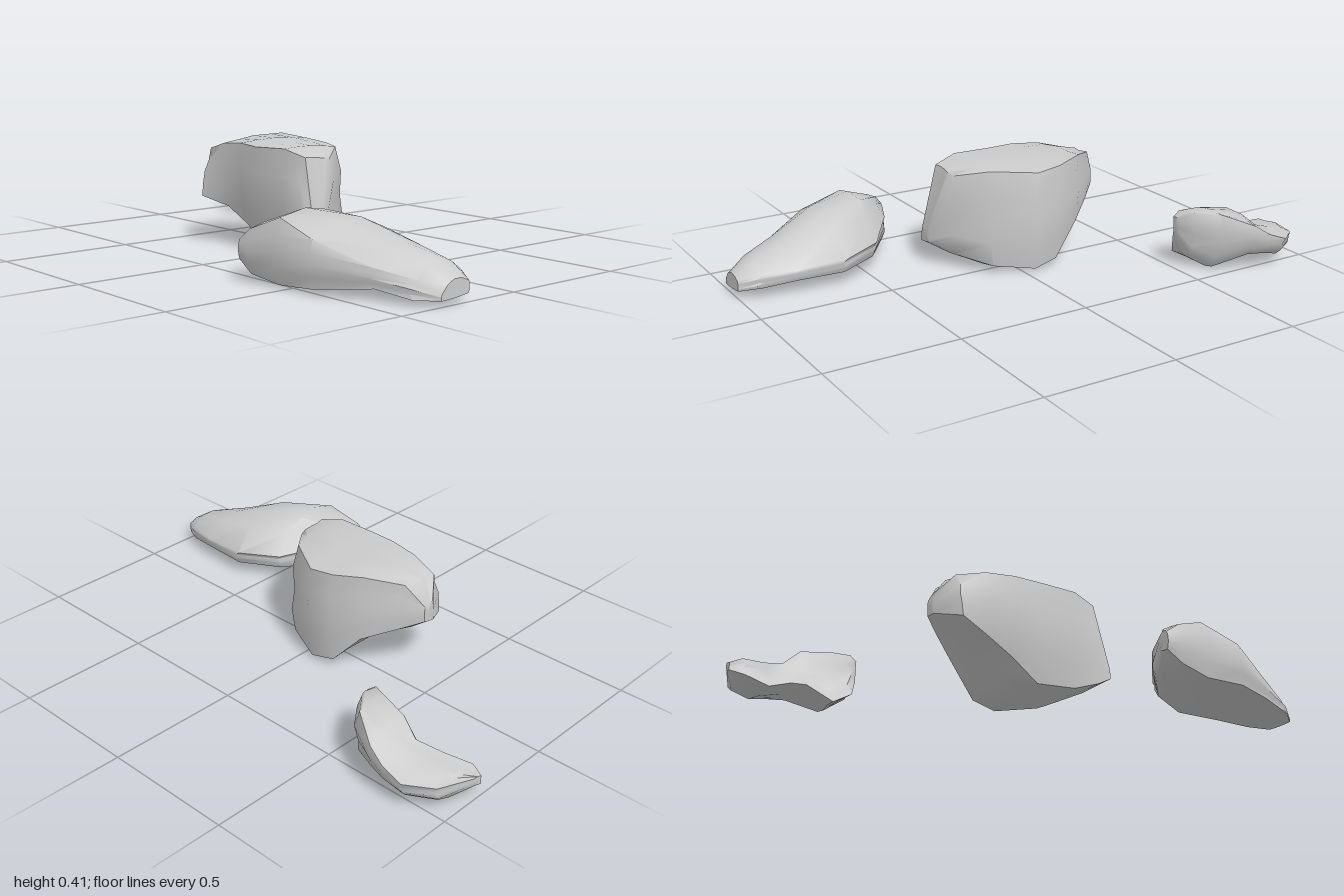
import * as THREE from 'three';
import { toCreasedNormals } from 'three/addons/utils/BufferGeometryUtils.js';

const STEPS = 4; // points along each side of a cross-section

// Small repeatable unevenness in -1..1
const rough = (i, j) => Math.sin(i * 12.9 + j * 78.2);

// Rock lofted along x. Each section: x, then [z, y] of the four corners
// front-bottom, front-top, back-top, back-bottom. bulges swell the
// front, top, back and bottom sides as a fraction of their length.
function rock(name, sections, bulges) {
  const pos = [], index = [], n = 4 * STEPS, last = sections.length - 1;
  sections.forEach(([x, ...corners], i) => {
    const jag = i === 0 || i === last ? 0 : 0.008;
    for (let j = 0; j < n; j++) {
      const side = Math.floor(j / STEPS), t = (j % STEPS) / STEPS;
      const a = corners[side], b = corners[(side + 1) % 4];
      const dz = b[0] - a[0], dy = b[1] - a[1], swell = 4 * t * (1 - t) * bulges[side];
      pos.push(x + jag * rough(i, j), a[1] + dy * t - dz * swell, a[0] + dz * t + dy * swell);
    }
  });

  // Skin between neighbouring sections
  for (let i = 0; i < last; i++) {
    for (let j = 0; j < n; j++) {
      const k = (j + 1) % n;
      const a = i * n + j, b = i * n + k, c = a + n, d = b + n;
      index.push(a, c, d, a, d, b);
    }
  }

  // Closed ends
  for (const i of [0, last]) {
    const [x, ...c] = sections[i], centre = pos.length / 3;
    const mean = (m) => c.reduce((s, p) => s + p[m], 0) / 4;
    pos.push(x, mean(1), mean(0));
    for (let j = 0; j < n; j++) {
      const a = i * n + j, b = i * n + (j + 1) % n;
      index.push(centre, ...(i === 0 ? [a, b] : [b, a]));
    }
  }

  const geometry = new THREE.BufferGeometry();
  geometry.setAttribute('position', new THREE.Float32BufferAttribute(pos, 3));
  geometry.setIndex(index);
  const mesh = new THREE.Mesh(
    toCreasedNormals(geometry, 0.75),
    new THREE.MeshStandardMaterial({ color: 0xcccccc })
  );
  mesh.name = name;
  return mesh;
}

export function createModel() {
  const group = new THREE.Group();
  group.name = 'rocks';

  // Small rock: low toe on one end, raised knob on the other
  group.add(rock('smallRock', [
    [-1.00, [-0.32, 0.05], [-0.32, 0.08], [-0.36, 0.09], [-0.35, 0.06]],
    [-0.95, [-0.29, 0.03], [-0.31, 0.10], [-0.49, 0.10], [-0.47, 0.04]],
    [-0.86, [-0.30, 0.01], [-0.35, 0.12], [-0.56, 0.11], [-0.52, 0.04]],
    [-0.78, [-0.30, 0.04], [-0.39, 0.15], [-0.56, 0.14], [-0.53, 0.06]],
    [-0.72, [-0.31, 0.05], [-0.38, 0.21], [-0.55, 0.18], [-0.51, 0.06]],
    [-0.61, [-0.32, 0.01], [-0.35, 0.22], [-0.48, 0.225], [-0.44, 0.01]],
    [-0.55, [-0.29, 0.04], [-0.32, 0.21], [-0.40, 0.22], [-0.38, 0.05]],
    [-0.52, [-0.32, 0.11], [-0.32, 0.19], [-0.35, 0.19], [-0.35, 0.12]],
  ], [-0.04, 0.06, 0.12, 0.05]));

  // Large blocky rock with an undercut end
  group.add(rock('largeRock', [
    [-0.42, [0.13, 0.22], [0.12, 0.30], [0.08, 0.29], [0.08, 0.23]],
    [-0.36, [0.24, 0.18], [0.19, 0.36], [0.03, 0.38], [0.02, 0.20]],
    [-0.25, [0.20, 0.15], [0.21, 0.39], [-0.07, 0.41], [-0.07, 0.15]],
    [-0.14, [0.19, 0.09], [0.22, 0.40], [-0.11, 0.395], [-0.10, 0.03]],
    [-0.04, [0.19, 0.01], [0.23, 0.395], [-0.12, 0.385], [-0.11, 0.01]],
    [0.11, [0.20, 0.02], [0.22, 0.40], [-0.03, 0.39], [-0.05, 0.03]],
    [0.20, [0.22, 0.05], [0.20, 0.375], [0.08, 0.36], [0.07, 0.06]],
    [0.26, [0.22, 0.08], [0.21, 0.14], [0.16, 0.14], [0.16, 0.09]],
  ], [0.05, 0.03, 0.04, 0.03]));

  // Long flat rock: arched top running down to a thin back edge and low tail
  group.add(rock('flatRock', [
    [0.28, [0.55, 0.07], [0.55, 0.14], [0.51, 0.14], [0.51, 0.08]],
    [0.34, [0.55, 0.03], [0.55, 0.18], [0.38, 0.14], [0.38, 0.06]],
    [0.46, [0.53, 0.01], [0.52, 0.23], [0.21, 0.11], [0.23, 0.05]],
    [0.62, [0.52, 0.02], [0.52, 0.18], [0.13, 0.10], [0.14, 0.05]],
    [0.80, [0.43, 0.04], [0.44, 0.11], [0.14, 0.09], [0.15, 0.05]],
    [0.93, [0.39, 0.02], [0.37, 0.08], [0.17, 0.09], [0.17, 0.04]],
    [1.00, [0.33, 0.02], [0.33, 0.04], [0.21, 0.07], [0.21, 0.03]],
  ], [0.1, 0.23, 0.06, 0.02]));

  return group;
}
